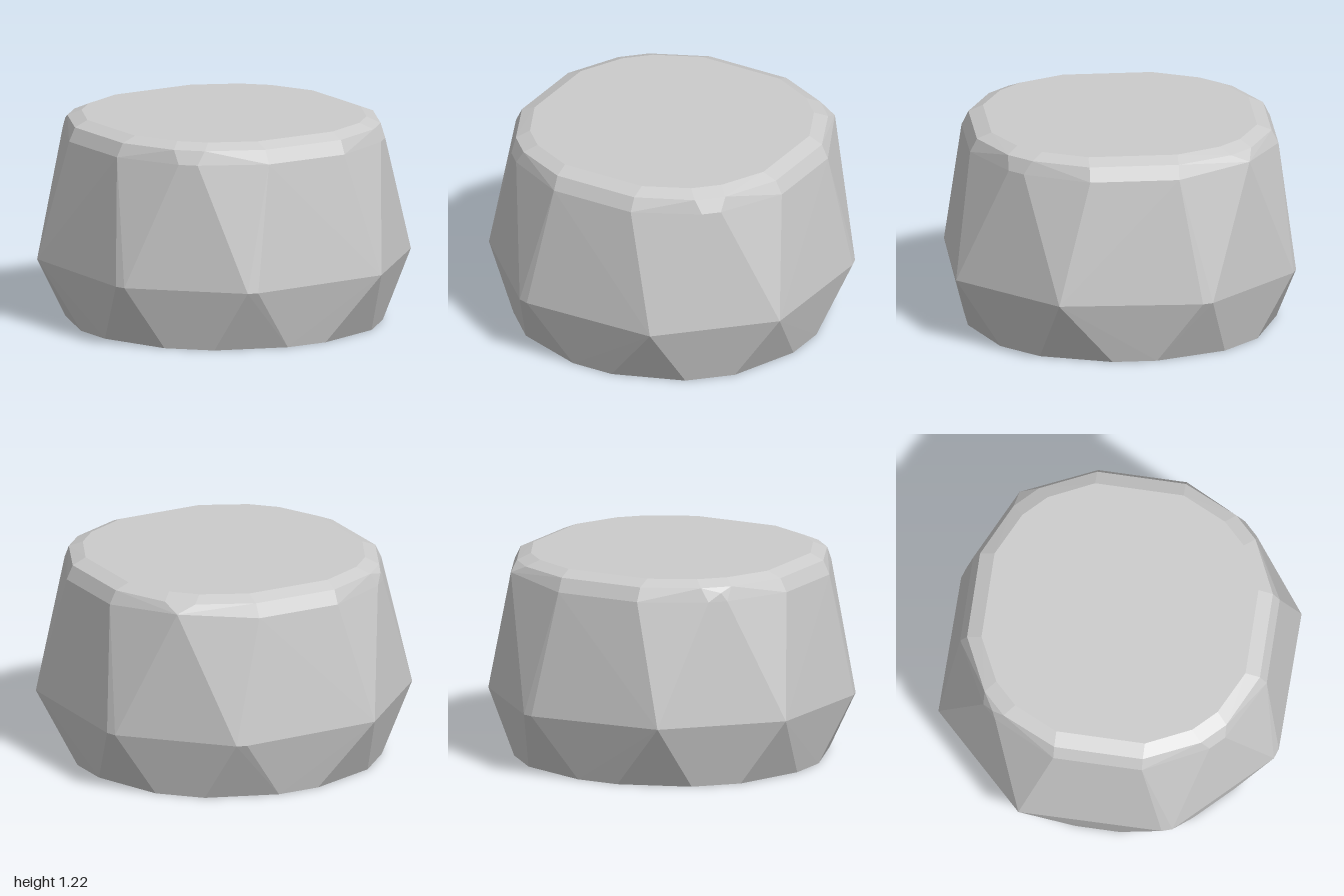
import * as THREE from 'three';
import { ConvexGeometry } from 'three/addons/geometries/ConvexGeometry.js';

// Repeats (a, b) points in all four quadrants, also with x and z swapped.
function ring(y, pairs) {
  const points = [];
  for (const [a, b] of pairs)
    for (const sx of [-1, 1])
      for (const sz of [-1, 1])
        points.push(new THREE.Vector3(a * sx, y, b * sz), new THREE.Vector3(b * sx, y, a * sz));
  return points;
}

export function createModel() {
  const group = new THREE.Group();
  group.name = 'facetedStone';

  const points = [
    ...ring(0, [[0.13, 0.9], [0.54, 0.75]]), // flat base
    ...ring(1.1, [[0.26, 0.9], [0.63, 0.71]]), // shoulder
    ...ring(1.18, [[0.26, 0.86], [0.58, 0.71]]), // upper bevel
    ...ring(1.215, [[0.26, 0.775], [0.52, 0.65]]), // flat top
  ];

  // Widest belt: two diagonals have sharp corners, the other two are chipped
  for (const s of [-1, 1]) {
    for (const [x, z] of [[0.45, 1], [1, 0.45]])
      points.push(new THREE.Vector3(x * s, 0.38, z * s));
    for (const [x, z] of [[0.39, -0.99], [0.45, -0.97], [0.99, -0.39], [0.97, -0.45]])
      points.push(new THREE.Vector3(x * s, 0.365, z * s));
  }

  // Uneven bumps on the rear shoulders
  points.push(new THREE.Vector3(0.69, 1.13, -0.69), new THREE.Vector3(-0.68, 1.15, -0.65));

  const body = new THREE.Mesh(
    new ConvexGeometry(points),
    new THREE.MeshStandardMaterial({ color: 0xcccccc, flatShading: true })
  );
  body.name = 'stoneBody';
  group.add(body);
  return group;
}
